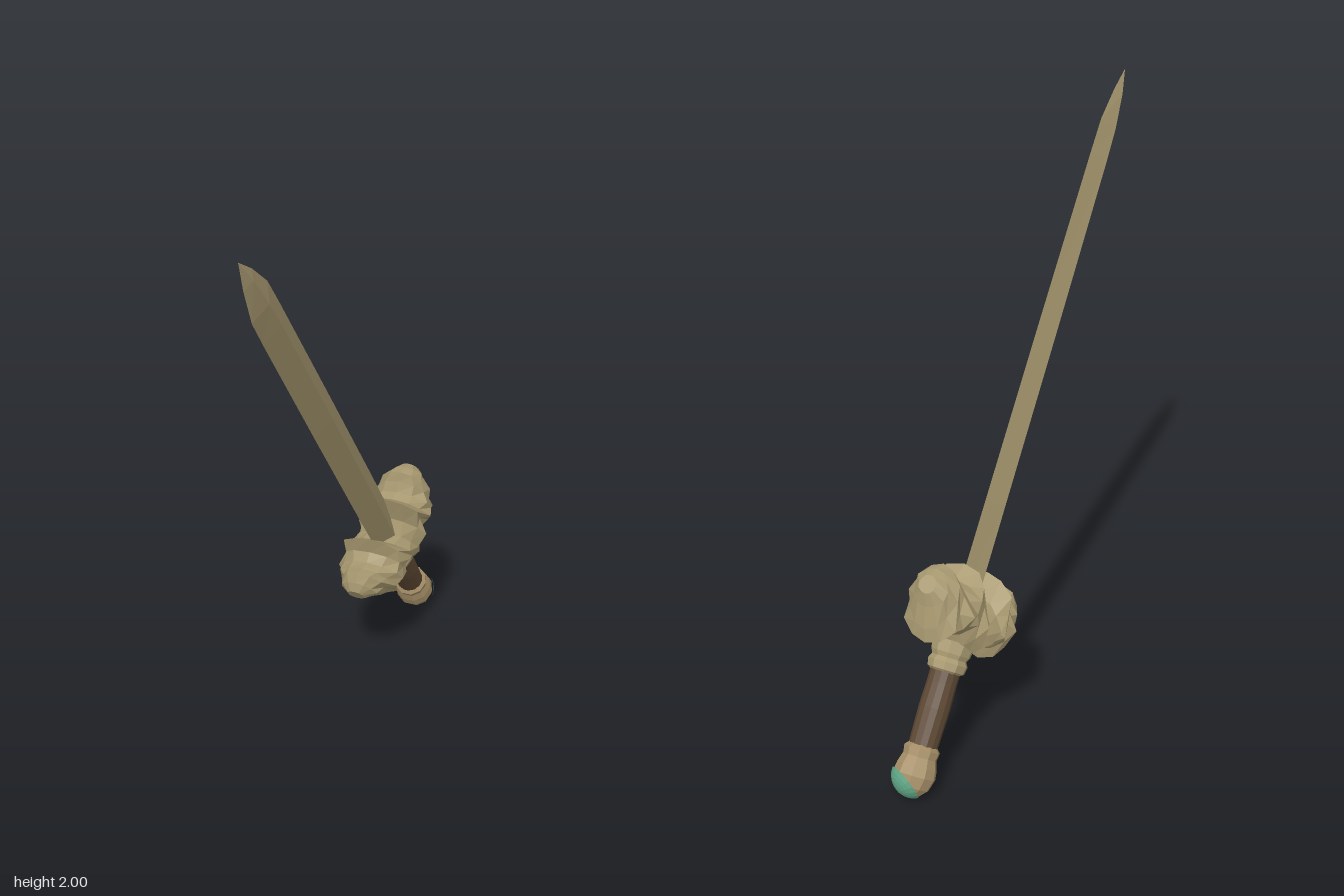
import * as THREE from 'three';

const mat = (name, color) => {
  const m = new THREE.MeshStandardMaterial({ color, flatShading: true });
  m.name = name;
  return m;
};

// Skin a list of equal-length rings (counter-clockwise about the sweep) and cap both ends
function loft(rings) {
  const n = rings[0].length, pos = [], idx = [];
  rings.forEach(r => r.forEach(p => pos.push(...p)));
  for (let k = 0; k < rings.length - 1; k++) {
    for (let i = 0; i < n; i++) {
      const a = k * n + i, b = k * n + (i + 1) % n;
      idx.push(a, b, b + n, a, b + n, a + n);
    }
  }
  const last = (rings.length - 1) * n;
  for (let i = 1; i < n - 1; i++) {
    idx.push(0, i + 1, i, last, last + i, last + i + 1);
  }
  const g = new THREE.BufferGeometry();
  g.setAttribute('position', new THREE.Float32BufferAttribute(pos, 3));
  g.setIndex(idx);
  const flat = g.toNonIndexed();
  flat.computeVertexNormals();
  return flat;
}

const lathe = (points, sides) =>
  new THREE.LatheGeometry(points.map(p => new THREE.Vector2(...p)), sides);

export function createModel() {
  const bladeTan = mat('blade tan', 0xa3946c);
  const guardBone = mat('guard bone', 0xa89970);
  const gripBrown = mat('grip brown', 0x5d4834);
  const pommelBrass = mat('pommel brass', 0xa68f68);
  const gemTeal = mat('gem teal', 0x5fa586);

  const sword = new THREE.Group();
  sword.name = 'sword';
  const add = (name, geo, material) => {
    const m = new THREE.Mesh(geo, material);
    m.name = name;
    sword.add(m);
    return m;
  };

  // Blade: diamond section [height, half width, half thickness]
  const blade = [
    [0.48, 0.078, 0.038], [0.9, 0.079, 0.037], [1.5, 0.076, 0.036],
    [2.1, 0.071, 0.033], [2.22, 0.068, 0.03], [2.34, 0.036, 0.018], [2.426, 0.001, 0.001],
  ].map(([y, w, t]) => [[0, y, t], [w, y, 0], [0, y, -t], [-w, y, 0]]);
  add('blade', loft(blade), bladeTan);

  // Guard: thick boss thinning to horned wings [distance out, bottom, top, half thickness]
  const half = [
    [0.0, 0.4, 0.565, 0.112], [0.045, 0.42, 0.6, 0.117], [0.078, 0.45, 0.685, 0.115],
    [0.105, 0.452, 0.628, 0.118], [0.14, 0.44, 0.615, 0.112], [0.172, 0.41, 0.638, 0.1],
    [0.198, 0.45, 0.662, 0.082], [0.23, 0.515, 0.64, 0.06], [0.255, 0.555, 0.615, 0.03],
  ];
  const profile = [
    ...half.slice(1).reverse().map(([x, ...r]) => [-x, ...r]),
    ...half,
  ];
  const sides = 12;
  const guard = profile.map(([x, lo, hi, t], k) => {
    const ring = [];
    for (let i = 0; i < sides; i++) {
      const a = i / sides * Math.PI * 2;
      // ragged, carved surface, with the wings slightly twisted
      const rough = 1 + 0.12 * Math.sin(k * 2.4 + i * 1.9) * Math.abs(Math.sin(a));
      ring.push([
        x,
        (lo + hi) / 2 + (hi - lo) / 2 * Math.cos(a),
        t * Math.sin(a) * rough + 0.1 * x,
      ]);
    }
    return ring;
  });
  add('guard', loft(guard), guardBone);

  // Collar between guard and grip
  add('collar', lathe([
    [0.045, 0.335], [0.062, 0.345], [0.067, 0.37], [0.058, 0.385], [0.066, 0.4], [0.072, 0.44],
  ], 10), guardBone);

  // Grip, slightly fuller in the middle
  add('grip', lathe([[0.047, 0.06], [0.049, 0.14], [0.051, 0.22], [0.049, 0.3], [0.05, 0.36]], 14), gripBrown);

  // Pommel with a neck ring
  add('pommel', lathe([
    [0.001, -0.068], [0.035, -0.061], [0.058, -0.038], [0.07, 0],
    [0.066, 0.03], [0.056, 0.06], [0.06, 0.085], [0.046, 0.1],
  ], 10), pommelBrass);

  // Gem set into one side of the pommel's end
  const gem = add('gem', new THREE.SphereGeometry(0.0745, 18, 5, 0, Math.PI * 2, 0, 1.05), gemTeal);
  const facing = new THREE.Vector3(0.41, -0.8, 0.42).normalize();
  gem.quaternion.setFromUnitVectors(new THREE.Vector3(0, 1, 0), facing);

  // Pose: tilted in its own plane, then turned about the vertical
  sword.rotation.set(0, 0.489, 0.655);
  sword.position.set(0.612, 0.075, -0.318);

  const model = new THREE.Group();
  model.name = 'model';
  model.add(sword);
  return model;
}
